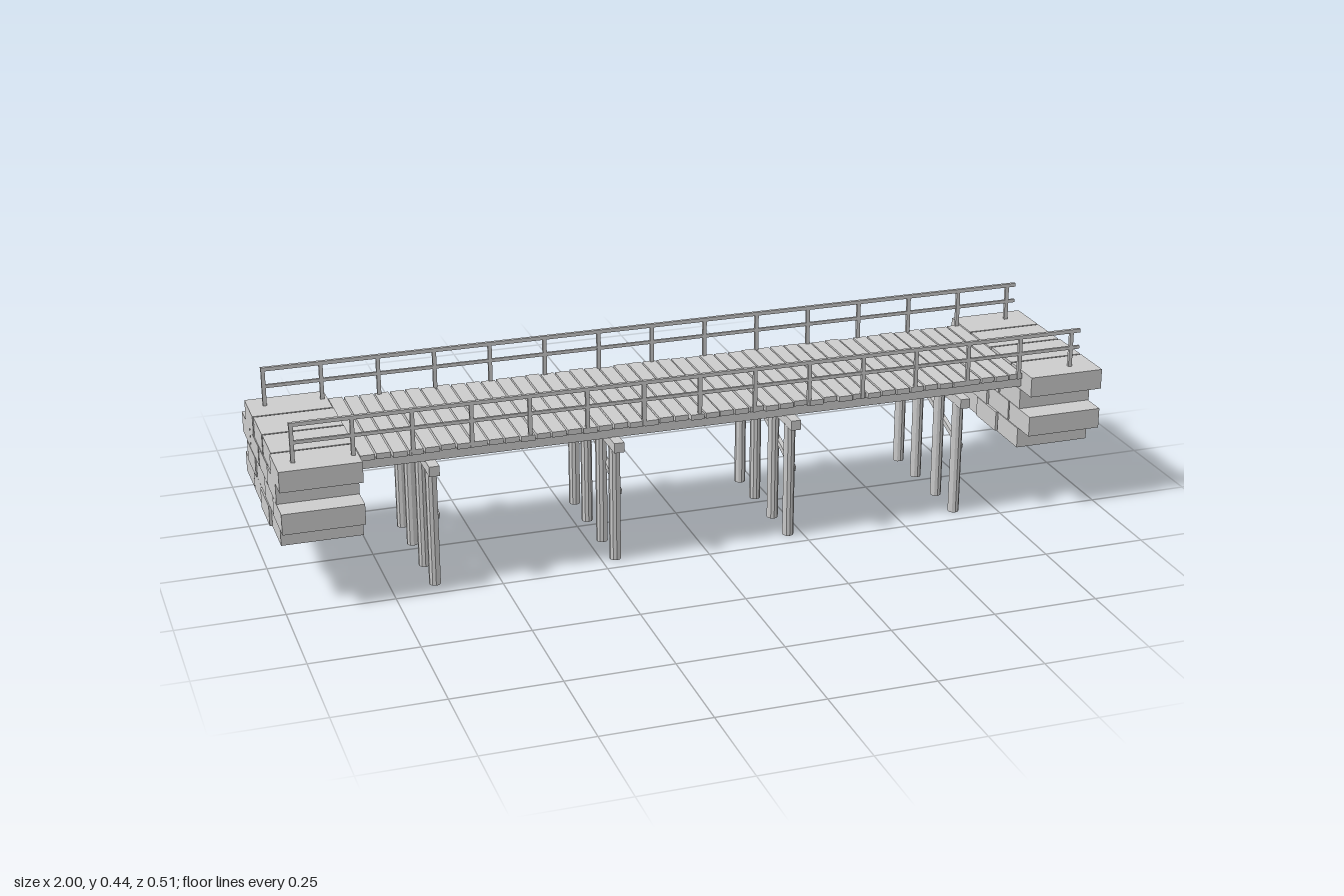
import * as THREE from 'three';

export function createModel() {
  const model = new THREE.Group();
  model.name = 'footbridge';
  const grey = new THREE.MeshStandardMaterial({ color: 0xcccccc, flatShading: true });
  grey.name = 'plain grey';

  // small seeded jitter in [-1, 1]
  let seed = 7;
  const jitter = () => {
    seed = (seed * 16807) % 2147483647;
    return (seed / 2147483647) * 2 - 1;
  };

  const group = (name) => {
    const g = new THREE.Group();
    g.name = name;
    model.add(g);
    return g;
  };
  const box = (parent, name, size, pos) => {
    const m = new THREE.Mesh(new THREE.BoxGeometry(...size), grey);
    m.name = name;
    m.position.set(...pos);
    parent.add(m);
    return m;
  };

  const midZ = 0.03; // centre line of the walkway

  // Stone abutments: four staggered courses of four blocks at each end
  for (const side of [-1, 1]) {
    const abutment = group(side < 0 ? 'rightAbutment' : 'leftAbutment');
    for (let course = 0; course < 4; course++) {
      const frontZ = course % 2 ? 0.257 : 0.2;
      for (let i = 0; i < 4; i++) {
        box(abutment, 'stoneBlock', [0.187, 0.0495, 0.11],
          [side * (0.903 + 0.003 * jitter()), 0.17 + course * 0.0507, frontZ - 0.0555 - i * 0.1144]);
      }
    }
  }

  // Pile bents: four round piles, a cap beam and a diagonal brace
  const pileGeo = new THREE.CylinderGeometry(0.0135, 0.0135, 0.285, 10);
  for (const x of [-0.648, -0.216, 0.216, 0.648]) {
    const bent = group('pileBent');
    for (const z of [0.199, 0.093, -0.031, -0.139]) {
      const pile = new THREE.Mesh(pileGeo, grey);
      pile.name = 'pile';
      pile.position.set(x, 0.1425, z);
      bent.add(pile);
    }
    box(bent, 'capBeam', [0.024, 0.024, 0.42], [x, 0.295, midZ]);
    const rise = 0.11, run = 0.34;
    const brace = box(bent, 'diagonalBrace', [0.01, 0.014, Math.hypot(rise, run)], [x + 0.012, 0.222, midZ]);
    brace.rotation.x = Math.atan2(rise, run);
  }

  // Stringers under the deck
  const deck = group('deck');
  for (let i = 0; i < 5; i++) {
    box(deck, 'stringer', [1.63, 0.024, 0.022], [0, 0.318, midZ - 0.16 + i * 0.08]);
  }

  // Cross planks, slightly uneven in length and position
  const planks = 44, pitch = 1.62 / planks;
  for (let i = 0; i < planks; i++) {
    box(deck, 'plank', [pitch - 0.004, 0.013, 0.366 + 0.004 * jitter()],
      [-0.81 + (i + 0.5) * pitch, 0.3365 + 0.0008 * jitter(), midZ + 0.003 * jitter()]);
  }

  // Railings: posts with a top and a middle rail on both sides
  for (const z of [-0.149, 0.21]) {
    const railing = group(z > 0 ? 'frontRailing' : 'backRailing');
    for (let i = 0; i < 15; i++) {
      box(railing, 'post', [0.009, 0.11, 0.008], [-0.958 + i * 0.1352, 0.385, z]);
    }
    box(railing, 'topRail', [1.92, 0.009, 0.008], [-0.003, 0.4365, z]);
    box(railing, 'middleRail', [1.92, 0.008, 0.006], [-0.003, 0.394, z]);
  }

  return model;
}
